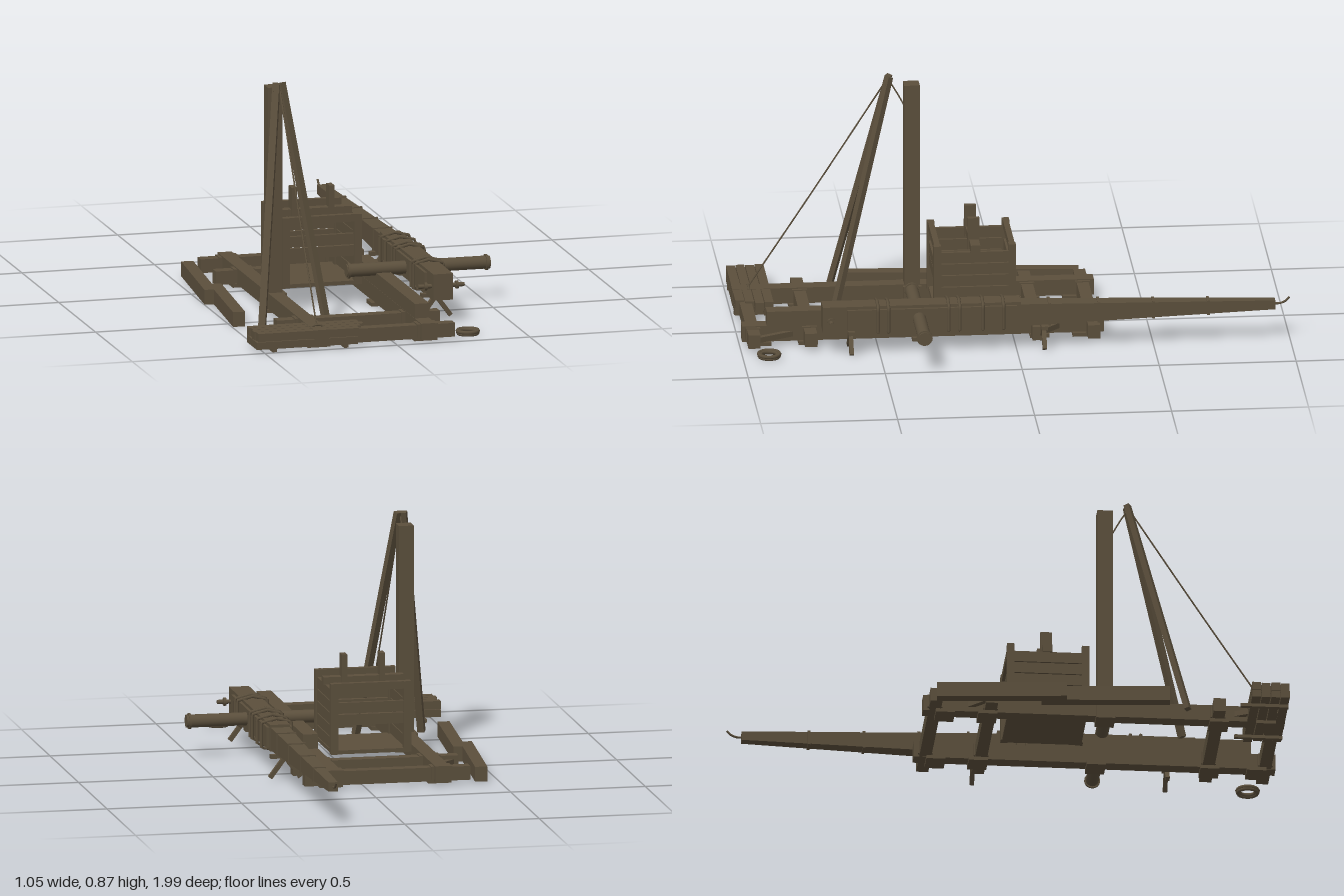
import * as THREE from 'three';

export function createModel() {
  const root = new THREE.Group();
  root.name = 'siegeEngineYard';
  const wood = new THREE.MeshStandardMaterial({ color: 0x5b4f3c });
  wood.name = 'weathered wood';

  const add = (name, geo, parent = root) => {
    const m = new THREE.Mesh(geo, wood);
    m.name = name;
    parent.add(m);
    return m;
  };
  const group = (name) => {
    const g = new THREE.Group();
    g.name = name;
    root.add(g);
    return g;
  };
  // box given by its limits on each axis
  const box = (name, x0, x1, y0, y1, z0, z1, parent) => {
    const m = add(name, new THREE.BoxGeometry(x1 - x0, y1 - y0, z1 - z0), parent);
    m.position.set((x0 + x1) / 2, (y0 + y1) / 2, (z0 + z1) / 2);
    return m;
  };
  // square timber running from point a to point b
  const timber = (name, a, b, w, h, parent) => {
    const p = new THREE.Vector3(...a), q = new THREE.Vector3(...b);
    const m = add(name, new THREE.BoxGeometry(w, h, p.distanceTo(q)), parent);
    m.position.copy(p).add(q).multiplyScalar(0.5);
    m.lookAt(q);
    return m;
  };
  const rod = (name, x0, x1, y, z, r, parent, sides = 16) => {
    const m = add(name, new THREE.CylinderGeometry(r, r, x1 - x0, sides), parent);
    m.rotation.z = Math.PI / 2;
    m.position.set((x0 + x1) / 2, y, z);
    return m;
  };
  const rope = (name, points, r, parent) => add(name, new THREE.TubeGeometry(
    new THREE.CatmullRomCurve3(points.map((p) => new THREE.Vector3(...p))), 12, r, 6), parent);

  // Base frame: two rails, four cross beams, ground pads and corner braces
  const frame = group('baseFrame');
  const rails = [-0.283, 0.12];
  const crossZ = [-0.288, -0.085, 0.745, 0.952];
  rails.forEach((x) => {
    box('sideRail', x - 0.027, x + 0.027, 0.012, 0.072, -0.33, 0.99, frame);
    [-0.25, -0.095, 0.335, 0.75, 0.92].forEach((z) =>
      box('groundPad', x - 0.043, x + 0.043, 0, 0.014, z - 0.035, z + 0.035, frame));
  });
  crossZ.forEach((z) => {
    box('crossBeam', -0.39, 0.225, 0.013, 0.064, z - 0.022, z + 0.022, frame);
    rails.forEach((x) => [-1, 1].forEach((s) =>
      box('jointWedge', x + s * 0.033 - 0.006, x + s * 0.033 + 0.006, 0.02, 0.068, z - 0.027, z + 0.027, frame)));
  });
  [[-0.305, -0.365], [0.142, 0.202]].forEach(([x0, x1]) => {
    timber('cornerBrace', [x0, 0.04, -0.16], [x1, 0.04, -0.1], 0.02, 0.02, frame);
    timber('cornerBrace', [x0, 0.04, 0.81], [x1, 0.04, 0.935], 0.02, 0.02, frame);
  });

  // Standing post with its collar, and the matching post still lying on the rail
  box('standingPost', -0.311, -0.256, 0.012, 0.838, 0.305, 0.362);
  [-1, 1].forEach((s) => box('postCollar', -0.283 + s * 0.035 - 0.008, -0.283 + s * 0.035 + 0.008, 0.012, 0.068, 0.3, 0.367));
  box('lyingPost', 0.094, 0.148, 0.072, 0.126, 0.08, 0.9);

  // Raising shears with hauling ropes
  const shears = group('raisingShears');
  [-1, 1].forEach((s) =>
    timber('shearLeg', [-0.285 + s * 0.122, 0.008, 0.627], [-0.285 + s * 0.009, 0.868, 0.416], 0.026, 0.02, shears));
  rod('shearPin', -0.31, -0.26, 0.84, 0.424, 0.006, shears, 8);
  rope('haulingRope', [[-0.285, 0.845, 0.43], [-0.285, 0.45, 0.683], [-0.285, 0.065, 0.935]], 0.003, shears);
  rope('postRope', [[-0.285, 0.85, 0.415], [-0.285, 0.8, 0.385], [-0.285, 0.75, 0.358]], 0.003, shears);
  rope('railLashing', [[-0.32, 0.05, 0.93], [-0.3, 0.075, 0.93], [-0.266, 0.075, 0.93], [-0.246, 0.05, 0.93]], 0.004, shears);

  // Stack of planks on two sleepers
  const stack = group('plankStack');
  const ends = [-0.115, -0.105, -0.125, -0.14];
  for (let i = 0; i < 4; i++) {
    const z = 0.852 + i * 0.035;
    box('lowerPlank', -0.527, -0.135 - (i % 2) * 0.01, 0.012, 0.039, z, z + 0.032, stack);
    box('upperPlank', -0.527 + (i % 2) * 0.006, ends[i], 0.041, 0.071, z, z + 0.032, stack);
  }
  [-0.46, -0.19].forEach((x) => box('sleeper', x - 0.008, x + 0.008, 0, 0.012, 0.815, 0.99, stack));

  // Two loose timbers overlapping beside the frame
  const loose = group('looseTimbers');
  timber('looseTimber', [-0.435, 0.028, -0.29], [-0.477, 0.028, 0.18], 0.045, 0.055, loose);
  timber('looseTimber', [-0.435, 0.028, 0.09], [-0.474, 0.028, 0.557], 0.045, 0.055, loose);

  // Counterweight box
  const crate = group('counterweightBox');
  const [x0, x1, z0, z1] = [-0.233, 0.065, -0.017, 0.283];
  box('boxFloor', x0 + 0.005, x1 - 0.005, 0.066, 0.08, z0 + 0.005, z1 - 0.005, crate);
  [x0, x1 - 0.027].forEach((x) => {
    [z0, z1 - 0.027].forEach((z) => box('cornerPost', x, x + 0.027, 0.066, 0.328, z, z + 0.027, crate));
    for (let i = 0; i < 5; i++) {
      const y = 0.082 + i * 0.0445;
      box('sideSlat', x + 0.006, x + 0.021, y, y + 0.041, z0 + 0.02, z1 - 0.02, crate);
    }
  });
  [z0, z1 - 0.027].forEach((z) => {
    box('topRail', x0 + 0.02, x1 - 0.02, 0.3, 0.328, z + 0.003, z + 0.024, crate);
    [0.172, 0.216].forEach((y) => box('endSlat', x0 + 0.02, x1 - 0.02, y, y + 0.04, z + 0.006, z + 0.021, crate));
  });
  box('hangerBar', x0, x1, 0.3, 0.328, 0.113, 0.148, crate);
  [-0.153, -0.012].forEach((x) => box('hangerUpright', x - 0.01, x + 0.01, 0.29, 0.41, 0.11, 0.153, crate));

  // Throwing arm: heavy butt, cheek planks, tapering tip and hook
  const arm = group('throwingArm');
  const ax = 0.254;
  box('armButt', ax - 0.037, ax + 0.037, 0.088, 0.186, -0.015, 0.708, arm);
  [-1, 1].forEach((s) => box('armCheek', ax + s * 0.04 - 0.007, ax + s * 0.04 + 0.007, 0.1, 0.175, 0.0, 0.62, arm));
  const taper = new THREE.BoxGeometry(1, 1, 0.935);
  const pos = taper.attributes.position;
  for (let i = 0; i < pos.count; i++) {
    const tip = pos.getZ(i) < 0;
    pos.setX(i, pos.getX(i) * (tip ? 0.034 : 0.07));
    pos.setY(i, pos.getY(i) * (tip ? 0.034 : 0.084) + (tip ? 0.138 : 0.134));
  }
  taper.computeVertexNormals();
  add('armTip', taper, arm).position.set(ax, 0, -0.4775);
  rope('releaseHook', [[ax, 0.138, -0.935], [ax, 0.139, -0.965], [ax, 0.148, -0.985], [ax, 0.162, -0.998]], 0.004, arm);

  // Lashings wrapped round the arm
  [0.05, 0.125, 0.21, 0.25, 0.47, 0.508].forEach((z) => {
    const w = [[-0.056, 0.09], [-0.056, 0.182], [0, 0.196], [0.056, 0.182], [0.056, 0.09], [0, 0.083]];
    const path = new THREE.CurvePath();
    w.forEach((p, i) => {
      const q = w[(i + 1) % w.length];
      path.add(new THREE.LineCurve3(new THREE.Vector3(ax + p[0], p[1], z), new THREE.Vector3(ax + q[0], q[1], z)));
    });
    add('armLashing', new THREE.TubeGeometry(path, 36, 0.006, 6, true), arm);
  });
  [-0.12, -0.3, -0.5, -0.7].forEach((z) => {
    const t = (-z - 0.01) / 0.935;
    const w = 0.039 - t * 0.019, h = 0.046 - t * 0.025, y = 0.134 + t * 0.004;
    box('tipBand', ax - w, ax + w, y - h, y + h, z - 0.005, z + 0.005, arm);
  });

  // Axle through the arm, with end collars, and the counterweight pin
  rod('mainAxle', -0.015, 0.525, 0.137, 0.357, 0.024, arm, 20);
  [-0.007, 0.513].forEach((x) => rod('axleCollar', x - 0.004, x + 0.004, 0.137, 0.357, 0.029, arm, 20));
  rod('counterweightPin', 0.167, 0.341, 0.137, 0.68, 0.008, arm, 10);
  [0.195, 0.313].forEach((x) => rod('pinWasher', x - 0.005, x + 0.005, 0.137, 0.68, 0.015, arm, 10));

  // Splayed trestles holding up the arm
  [0.605, -0.1].forEach((z) => {
    const trestle = group('armTrestle');
    [-1, 1].forEach((s) =>
      timber('trestleLeg', [ax + s * 0.056, 0.008, z], [ax - s * 0.012, 0.1, z], 0.016, 0.016, trestle));
    box('trestleHead', ax - 0.055, ax + 0.055, 0.08, 0.094, z - 0.012, z + 0.012, trestle);
  });

  // Coil of rope on the ground
  const coil = group('ropeCoil');
  [[0.036, 0.008], [0.031, 0.013], [0.038, 0.016]].forEach(([r, y]) => {
    const t = add('coilTurn', new THREE.TorusGeometry(r, 0.007, 6, 24), coil);
    t.rotation.x = Math.PI / 2;
    t.position.set(0.292, y, 0.905);
  });
  return root;
}
